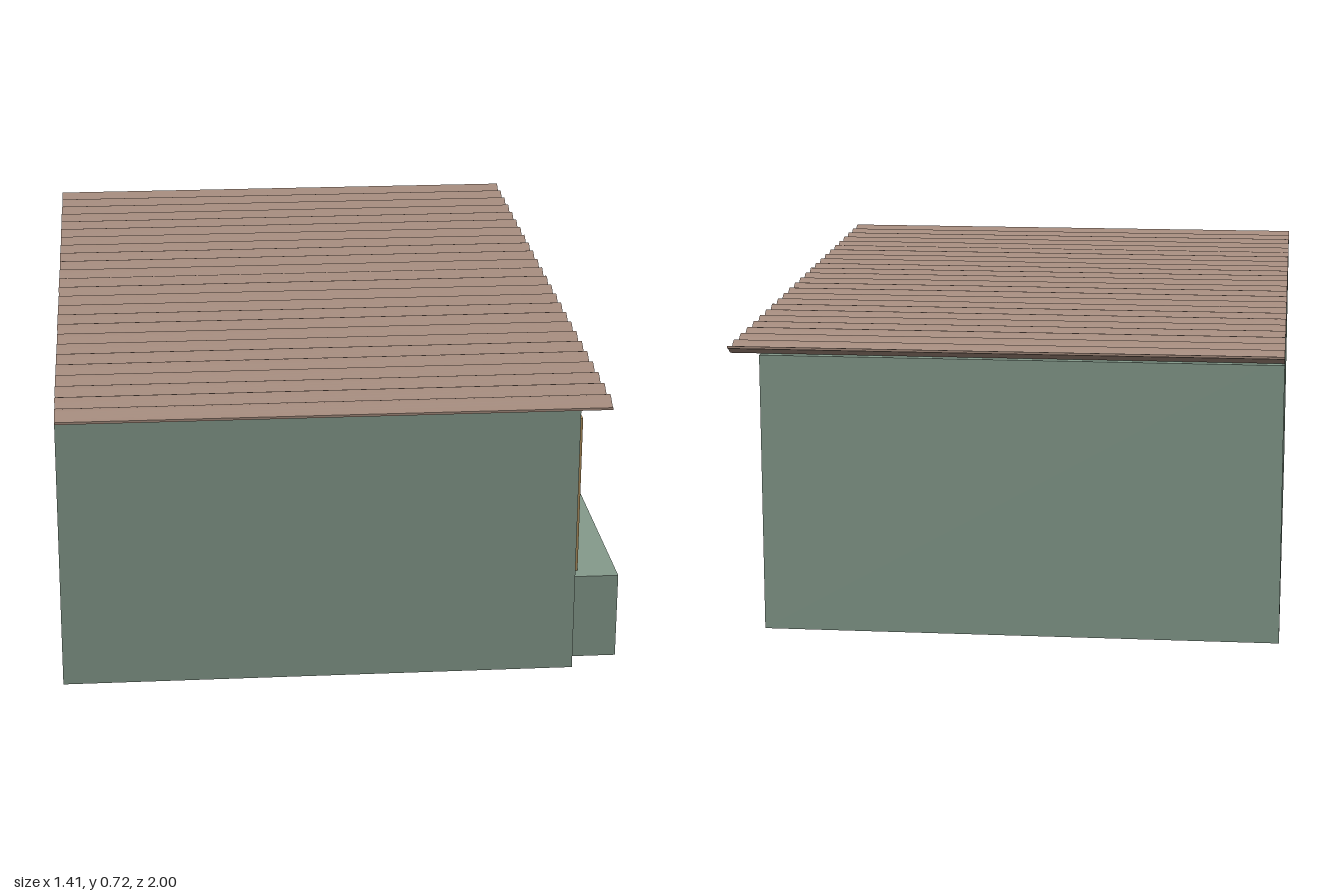
import * as THREE from 'three';
import { toCreasedNormals } from 'three/addons/utils/BufferGeometryUtils.js';

const mat = (name, color, side = THREE.FrontSide) => {
  const m = new THREE.MeshStandardMaterial({ color, side });
  m.name = name;
  return m;
};

export function createModel() {
  const green = mat('wall green', 0x859b8c);
  const brown = mat('clay brown', 0xa0877a);
  const roofBrown = mat('roof brown', 0xa68c7e);
  const wood = mat('wood', 0xab8b5a);
  const black = mat('black plastic', 0x0c0c0c);

  const model = new THREE.Group();
  model.name = 'classroom';

  // box given by its extents on each axis
  function box(parent, name, m, x0, x1, y0, y1, z0, z1) {
    const mesh = new THREE.Mesh(new THREE.BoxGeometry(x1 - x0, y1 - y0, z1 - z0), m);
    mesh.position.set((x0 + x1) / 2, (y0 + y1) / 2, (z0 + z1) / 2);
    mesh.name = name;
    parent.add(mesh);
    return mesh;
  }
  function group(parent, name) {
    const g = new THREE.Group();
    g.name = name;
    parent.add(g);
    return g;
  }

  // building: closed front block and an open bay behind it
  const building = group(model, 'building');
  box(building, 'frontBlock', green, -0.705, 0.58, 0, 0.7, -0.145, 0.98);
  box(building, 'sideWall', green, -0.705, -0.66, 0, 0.7, -0.98, -0.145);
  box(building, 'backWall', green, -0.66, 0.58, 0, 0.7, -0.98, -0.92);
  box(building, 'ceiling', green, -0.66, 0.58, 0.66, 0.7, -0.92, -0.145);

  // corrugated roof: wave profile extruded along x
  const pitch = 0.0815, steps = 288, thick = 0.006;
  const wave = (z) => 0.7155 + 0.0095 * Math.cos((2 * Math.PI * (z - 0.957)) / pitch);
  const profile = [];
  for (let i = 0; i <= steps; i++) {
    const z = 1 - (2 * i) / steps;
    profile.push(new THREE.Vector2(-z, wave(z)));
  }
  for (let i = steps; i >= 0; i--) {
    const z = 1 - (2 * i) / steps;
    profile.push(new THREE.Vector2(-z, wave(z) - thick));
  }
  let roofGeo = new THREE.ExtrudeGeometry(new THREE.Shape(profile), { depth: 1.36, bevelEnabled: false });
  roofGeo.rotateY(Math.PI / 2);
  roofGeo = toCreasedNormals(roofGeo, 0.8);
  const roof = new THREE.Mesh(roofGeo, roofBrown);
  roof.position.x = -0.705;
  roof.name = 'corrugatedRoof';
  model.add(roof);

  // bench along the side wall
  const bench = group(model, 'bench');
  box(bench, 'benchTop', green, 0.58, 0.702, 0.175, 0.222, -0.09, 0.917);
  box(bench, 'benchLegBack', green, 0.58, 0.702, 0, 0.175, -0.09, -0.04);
  box(bench, 'benchLegFront', green, 0.58, 0.702, 0, 0.175, 0.86, 0.917);

  // framed board
  const board = group(model, 'board');
  box(board, 'boardPanel', brown, 0.58, 0.59, 0.235, 0.625, -0.04, 0.87);
  box(board, 'frameBottom', wood, 0.58, 0.604, 0.222, 0.24, -0.05, 0.88);
  box(board, 'frameTop', wood, 0.58, 0.604, 0.618, 0.635, -0.05, 0.88);
  box(board, 'frameBack', wood, 0.58, 0.604, 0.24, 0.618, -0.05, -0.033);
  box(board, 'frameFront', wood, 0.58, 0.604, 0.24, 0.618, 0.863, 0.88);

  // rounded patches on the board: centre z, centre y, width, height
  const patches = [
    [0.468, 0.525, 0.05, 0.1], [0.41, 0.528, 0.042, 0.085],
    [0.145, 0.572, 0.065, 0.06], [0.085, 0.575, 0.07, 0.06],
    [0.32, 0.438, 0.034, 0.06], [0.265, 0.438, 0.034, 0.06],
    [0.216, 0.455, 0.036, 0.1], [0.42, 0.283, 0.255, 0.085],
    [0.825, 0.275, 0.066, 0.06],
  ];
  for (const [z, y, w, h] of patches) {
    const r = Math.min(w, h) * 0.45, a = w / 2 - r, b = h / 2 - r;
    const s = new THREE.Shape();
    s.absarc(a, b, r, 0, Math.PI / 2);
    s.absarc(-a, b, r, Math.PI / 2, Math.PI);
    s.absarc(-a, -b, r, Math.PI, Math.PI * 1.5);
    s.absarc(a, -b, r, Math.PI * 1.5, Math.PI * 2);
    const patch = new THREE.Mesh(new THREE.ExtrudeGeometry(s, { depth: 0.002, bevelEnabled: false, curveSegments: 4 }), green);
    patch.rotation.y = Math.PI / 2;
    patch.position.set(0.59, y, z);
    patch.name = 'boardPatch';
    board.add(patch);
  }

  // one row of desks; local +z points from the wall to the aisle, z = 0 at the desk's wall edge
  const count = 4, width = 0.27, half = (count * width) / 2;
  function deskRow(name) {
    const row = group(model, name);
    box(row, 'deskTop', wood, -half, half, 0.133, 0.145, 0, 0.148);
    for (let i = 0; i <= count; i++) {
      const x = -half + i * width;
      box(row, 'deskPanel', wood, x - 0.006, x + 0.006, 0.01, 0.133, 0, 0.148);
    }
    for (let i = 0; i < count; i++) {
      const x = -half + (i + 0.5) * width;

      const computer = group(row, 'computer');
      computer.position.x = x;
      box(computer, 'monitorBase', black, -0.035, 0.035, 0.145, 0.151, 0.02, 0.06);
      box(computer, 'monitorStand', black, -0.012, 0.012, 0.151, 0.2, 0.026, 0.036);
      box(computer, 'monitor', black, -0.105, 0.105, 0.168, 0.29, 0.03, 0.052);
      box(computer, 'keyboard', black, -0.075, 0.055, 0.145, 0.152, 0.082, 0.13);
      box(computer, 'mouse', black, 0.075, 0.093, 0.145, 0.153, 0.092, 0.12);

      const chair = group(row, 'chair');
      chair.position.x = x;
      box(chair, 'chairSeat', brown, -0.06, 0.06, 0.09, 0.105, 0.157, 0.27);
      box(chair, 'chairBack', brown, -0.06, 0.06, 0.115, 0.222, 0.266, 0.278);
      for (const side of [-1, 1]) {
        const c = side * 0.05;
        box(chair, 'chairFrontLeg', brown, c - 0.007, c + 0.007, 0.01, 0.09, 0.162, 0.176);
        box(chair, 'chairBackLeg', brown, c - 0.007, c + 0.007, 0.01, 0.13, 0.264, 0.278);
      }
    }
    return row;
  }

  // two rows facing opposite walls, chairs back to back
  const backRow = deskRow('backDeskRow');
  backRow.position.set(-0.04, 0, -0.905);
  const innerRow = deskRow('innerDeskRow');
  innerRow.rotation.y = Math.PI;
  innerRow.position.set(-0.04, 0, -0.183);

  return model;
}
